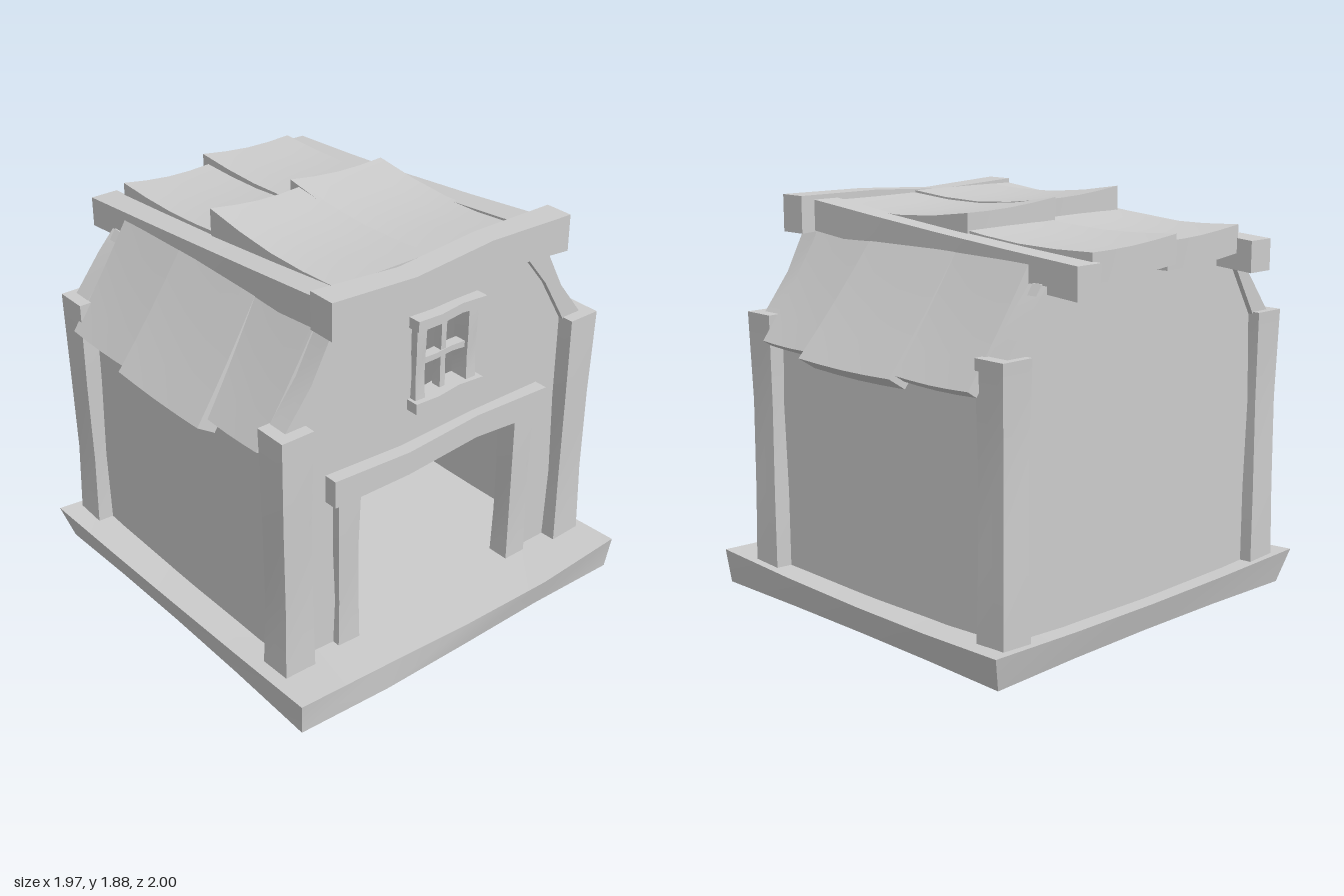
import * as THREE from 'three';
import { toCreasedNormals } from 'three/addons/utils/BufferGeometryUtils.js';

const mat = new THREE.MeshStandardMaterial({ color: 0xcccccc, side: THREE.DoubleSide });
const lerp = THREE.MathUtils.lerp;

export function createModel() {
  const group = new THREE.Group();

  const add = (name, geo) => {
    const mesh = new THREE.Mesh(toCreasedNormals(geo, 0.5), mat);
    mesh.name = name;
    group.add(mesh);
  };

  // move every vertex of a geometry by a rule: fn(vector) edits it in place
  const warp = (geo, fn) => {
    const p = geo.attributes.position, v = new THREE.Vector3();
    for (let i = 0; i < p.count; i++) {
      v.fromBufferAttribute(p, i);
      fn(v);
      p.setXYZ(i, v.x, v.y, v.z);
    }
    return geo;
  };

  // hand-hewn timber: box between two corners in three lengths along one axis;
  // opposite sides are cut in at different joints, which twists it slightly
  const timber = (name, lo, hi, axis, cut = 0.1) => {
    const a = new THREE.Vector3(...lo), b = new THREE.Vector3(...hi);
    const seg = { x: 1, y: 1, z: 1, [axis]: 3 };
    const lowFirst = axis === 'y' ? 'x' : 'z';
    add(name, warp(new THREE.BoxGeometry(1, 1, 1, seg.x, seg.y, seg.z), v => {
      const joint = Math.round((v[axis] + 0.5) * 3);
      for (const k of ['x', 'y', 'z']) {
        const cutJoint = (v[k] < 0) === (k === lowFirst) ? 1 : 2;
        if (k !== axis && joint === cutJoint) v[k] *= 1 - 2 * cut;
        v[k] = lerp(a[k], b[k], v[k] + 0.5);
      }
    }));
  };

  // slab whose top surface is given by top(u, v), with a thickness vector
  const slab = (name, thick, top) => {
    add(name, warp(new THREE.BoxGeometry(1, 1, 1, 4, 1, 4), p => {
      const t = p.y - 0.5;
      p.copy(top(p.x + 0.5, p.z + 0.5)).addScaledVector(thick, t);
    }));
  };

  const extrude = (name, pts, depth, z, holes = []) => {
    const shape = new THREE.Shape(pts.map(p => new THREE.Vector2(...p)));
    holes.forEach(h => shape.holes.push(new THREE.Path(h.map(p => new THREE.Vector2(...p)))));
    add(name, new THREE.ExtrudeGeometry(shape, { depth, bevelEnabled: false }).translate(0, 0, z));
  };

  // flared base, open underneath
  const base = new THREE.BoxGeometry(2, 1, 2, 4, 1, 4);
  const under = base.groups[3];
  base.setIndex([...base.index.array].filter((_, i) => i < under.start || i >= under.start + under.count));
  base.clearGroups();
  add('base', warp(base, p => {
    const u = p.x, v = p.z, t = p.y > 0 ? 1 : 0;
    const wide = 0.93 + t * (0.015 + 0.018 * (1 - v)) - 0.015 * (1 - v * v);
    const wave = 0.01 * Math.sin(Math.PI * u) * (t ? 1 : -1);
    p.x = u * wide - 0.01;
    p.z = v > 0 ? v * (0.96 + 0.02 * t + wave + 0.008 * (1 - u * u)) : v * (0.87 + 0.04 * t - 0.025 * (1 - u * u));
    p.y = t * (0.13 + 0.03 * u * u * v * v);
  }));

  // gable walls, the front one with doorway and window
  extrude('frontWall', [
    [-0.8, 0.135], [-0.47, 0.135], [-0.47, 0.93], [0.47, 0.93], [0.47, 0.135], [0.8, 0.135],
    [0.8, 1.33], [0.66, 1.52], [0.56, 1.7], [-0.56, 1.7], [-0.66, 1.52], [-0.8, 1.33]
  ], 0.05, 0.66, [[[-0.11, 1.21], [-0.11, 1.58], [0.15, 1.58], [0.15, 1.21]]]);
  extrude('backWall', [
    [-0.8, 0.13], [0.8, 0.13], [0.8, 1.33], [0.62, 1.6], [-0.62, 1.6], [-0.8, 1.33]
  ], 0.05, -0.81);

  for (const s of [1, -1]) {
    const span = (a, b) => s > 0 ? [a, b] : [-b, -a];

    // side wall and corner posts
    const [w0, w1] = span(0.76, 0.81);
    timber('sideWall', [w0, 0.1, -0.78], [w1, 1.32, 0.69], 'y', 0);
    const [p0, p1] = span(0.73, 0.89);
    timber('frontCornerPost', [p0, 0.08, 0.63], [p1, 1.33, 0.79], 'y');
    timber('backCornerPost', [p0, 0.08, -0.87], [p1, 1.33, -0.71], 'y');

    // door post
    const [d0, d1] = span(0.45, 0.57);
    timber('doorPost', [d0, 0.08, 0.64], [d1, 0.92, 0.75], 'y');

    // curved gable boards
    const board = [[0.84, 1.32], [0.7, 1.5], [0.6, 1.69], [0.48, 1.69], [0.6, 1.54], [0.73, 1.32]];
    const pts = board.map(([x, y]) => [s * x, y]);
    extrude('frontGableBoard', pts, 0.1, 0.635);
    extrude('backGableBoard', pts.map(([x, y]) => [x, Math.min(y, 1.61)]), 0.1, -0.835);

    // steep lower roof panels: outer x, outer y, front z, back z, skew, thickness
    for (const [ox, oy, zf, zb, skew, thick] of [
      [0.925, 1.22, 0.63, 0.22, 0, 0.05],
      [0.98, 1.195, 0.25, -0.3, 0.05, 0.1],
      [0.945, 1.205, -0.27, -0.73, 0, 0.055]
    ]) {
      const outer = s > 0 ? ox : ox - 0.025;
      slab('lowerRoofPanel', new THREE.Vector3(s * 0.85 * thick, 0.55 * thick, 0), (u, v) => {
        const a = s > 0 ? u : 1 - u;
        return new THREE.Vector3(
          s * lerp(0.6, outer, a),
          lerp(1.69, oy, a) - 0.012 * Math.sin(Math.PI * a) - 0.008 * Math.sin(Math.PI * v) * a,
          lerp(zb, zf + skew * a, v));
      });
    }

    // sloping edge beam of the upper roof
    slab('roofEdgeBeam', new THREE.Vector3(0, 0.14, 0), (u, v) => new THREE.Vector3(
      s * 0.55 + (u - 0.5) * (0.135 - 0.02 * Math.sin(Math.PI * v)),
      lerp(1.69, 1.83, v) - 0.01 * Math.sin(Math.PI * v),
      lerp(-1, 0.64, v)));
  }

  // upper roof panels: x range, z range, height at back, middle and front
  for (const [x0, x1, zb, zf, yb, ym, yf] of [
    [-0.49, -0.015, -0.92, -0.15, 1.74, 1.735, 1.77],
    [-0.01, 0.5, -0.97, -0.15, 1.745, 1.735, 1.77],
    [-0.5, 0.0, -0.21, 0.64, 1.86, 1.815, 1.83],
    [-0.02, 0.51, -0.27, 0.64, 1.845, 1.795, 1.82]
  ]) {
    slab('upperRoofPanel', new THREE.Vector3(0, 0.125, 0), (u, v) => new THREE.Vector3(
      lerp(x0, x1, u),
      lerp(yb, yf, v) + (ym - (yb + yf) / 2) * Math.sin(Math.PI * v)
        + (0.03 * (0.5 - u) - 0.012 * Math.sin(Math.PI * u)) * (1 - v),
      lerp(zb, zf, v) + 0.012 * Math.sin(Math.PI * u) * (1 - v)));
  }

  // board across the front of the roof and lintel above the doorway
  timber('frontRoofBeam', [-0.62, 1.68, 0.63], [0.69, 1.85, 0.765], 'x', 0.14);
  timber('doorLintel', [-0.61, 0.9, 0.66], [0.61, 1.03, 0.775], 'x', 0.14);

  // window frame and glazing bars
  for (const x of [-0.155, 0.135]) timber('windowJamb', [x, 1.2, 0.65], [x + 0.055, 1.58, 0.745], 'y');
  for (const y of [1.18, 1.57]) timber('windowRail', [-0.17, y, 0.65], [0.21, y + 0.05, 0.77], 'x');
  timber('windowMullion', [0.005, 1.2, 0.67], [0.035, 1.58, 0.72], 'y');
  timber('windowCrossbar', [-0.12, 1.38, 0.67], [0.16, 1.41, 0.725], 'x');

  return group;
}
